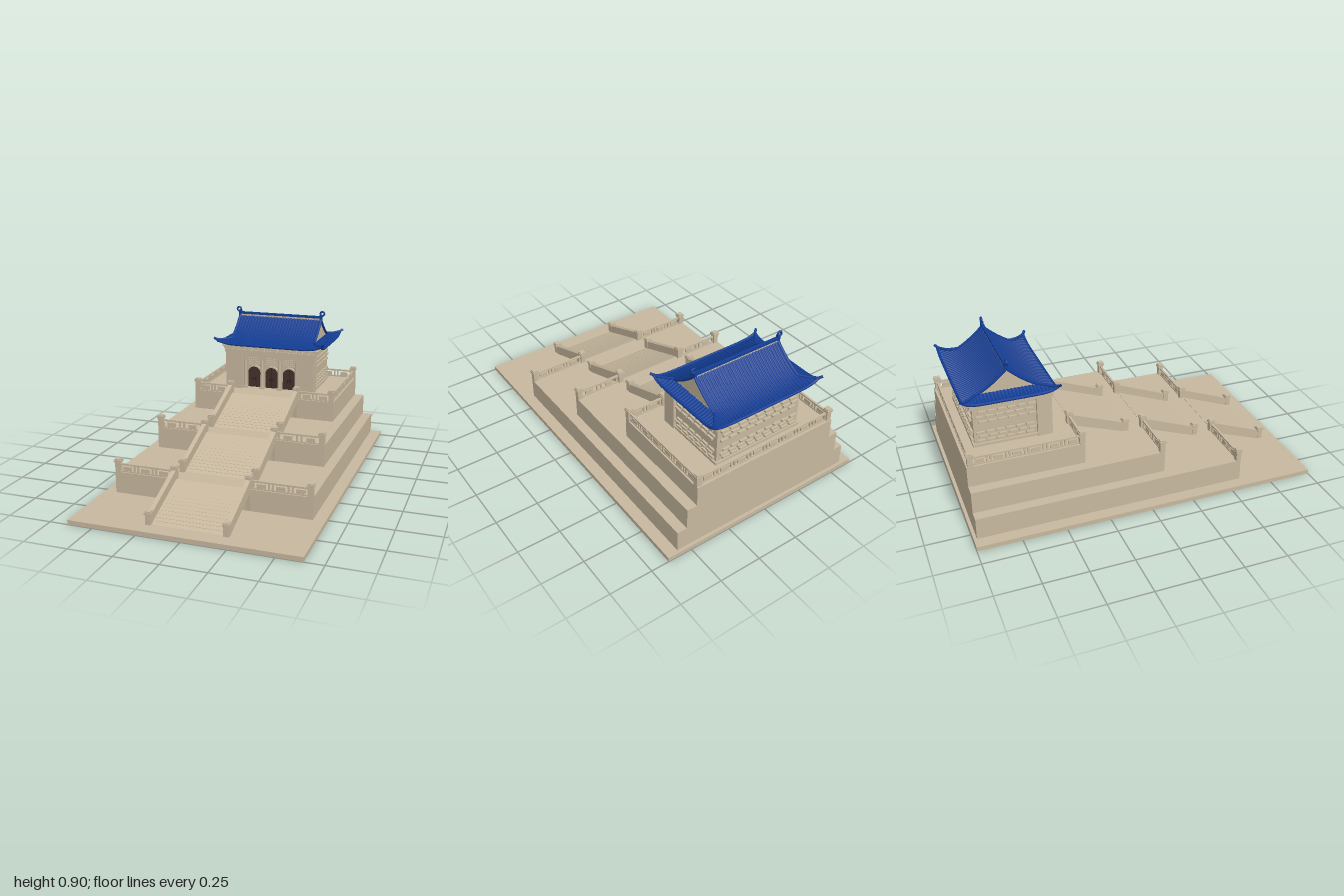
import * as THREE from 'three';
import { mergeGeometries } from 'three/addons/utils/BufferGeometryUtils.js';

const material = (name, color, extra = {}) => {
  const m = new THREE.MeshStandardMaterial({ color, ...extra });
  m.name = name;
  return m;
};

export function createModel() {
  const root = new THREE.Group();
  root.name = 'terracedHall';
  const stone = material('stone', 0xc8b99f);
  const tile = material('blueTile', 0x133f98, { side: THREE.DoubleSide });
  const wood = material('doorWood', 0x45322c);
  const iron = material('doorTrim', 0x2a1f1c);

  const add = (name, geometry, mat = stone) => {
    const mesh = new THREE.Mesh(geometry, mat);
    mesh.name = name;
    root.add(mesh);
    return mesh;
  };
  // Box given by its extents
  const block = (x0, x1, y0, y1, z0, z1) =>
    new THREE.BoxGeometry(x1 - x0, y1 - y0, z1 - z0)
      .translate((x0 + x1) / 2, (y0 + y1) / 2, (z0 + z1) / 2);
  // Side profile of [z, y] points, extruded across x
  const slab = (points, x, width) => {
    const shape = new THREE.Shape(points.map(p => new THREE.Vector2(p[0], p[1])));
    return new THREE.ExtrudeGeometry(shape, { depth: width, bevelEnabled: false })
      .translate(0, 0, -width / 2).rotateY(-Math.PI / 2).translate(x, 0, 0);
  };
  const tube = (points, radius, segments = 8, sides = 5) =>
    new THREE.TubeGeometry(new THREE.CatmullRomCurve3(points), segments, radius, sides);
  const V = (x, y, z) => new THREE.Vector3(x, y, z);

  // Ground slab and the three terraces
  add('groundSlab', block(-0.645, 0.645, 0, 0.026, -1, 1));
  const tiers = [
    { half: 0.577, y0: 0.026, y1: 0.152, front: 0.575 },
    { half: 0.518, y0: 0.152, y1: 0.28, front: 0.12 },
    { half: 0.458, y0: 0.28, y1: 0.402, front: -0.33 },
  ];
  tiers.forEach((t, i) =>
    add('terrace' + (i + 1), block(-t.half, t.half, t.y0, t.y1, -0.982, t.front)));

  // Square post with a cap
  const post = (x, y, z) => mergeGeometries([
    block(x - 0.015, x + 0.015, y, y + 0.06, z - 0.015, z + 0.015),
    block(x - 0.02, x + 0.02, y + 0.057, y + 0.069, z - 0.02, z + 0.02),
    block(x - 0.016, x + 0.016, y + 0.069, y + 0.076, z - 0.016, z + 0.016),
  ]);
  // Balustrade of a given length along x, later moved and turned
  const railing = (length) => {
    const h = length / 2;
    const parts = [block(-h, h, 0.04, 0.05, -0.006, 0.006), block(-h, h, 0, 0.008, -0.006, 0.006)];
    const n = Math.max(2, Math.round(length / 0.11));
    for (let i = 0; i < n; i++) {
      const c = -h + (i + 0.5) * length / n;
      parts.push(block(c - 0.025, c + 0.025, 0.008, 0.032, -0.004, 0.004));
      for (const s of [-1, 1]) {
        const p = c + s * length / n * 0.4;
        parts.push(block(p - 0.005, p + 0.005, 0.008, 0.04, -0.005, 0.005));
      }
    }
    return mergeGeometries(parts);
  };

  tiers.forEach((t) => {
    const edge = t.half - 0.016, z = t.front - 0.013, run = t.front + 0.33;
    for (const s of [-1, 1]) {
      add('cornerPost', post(s * edge, t.y1, z));
      add('frontRailing', railing(edge - 0.23).translate(s * (edge + 0.23) / 2, t.y1, z));
    }
    // Stair flight: ramp, nosings, sloped side walls, brackets and posts
    const z1 = t.front + 0.328, z0 = t.front - 0.005, rise = t.y1 - t.y0;
    add('stairRamp', slab([[z1, t.y0], [z0, t.y1 + 0.002], [z0, t.y1 - 0.014], [z1 - 0.03, t.y0]], 0, 0.42));
    const nosings = [];
    for (let i = 1; i < 13; i++) {
      const k = i / 13, y = t.y0 + rise * k, zz = z1 + (z0 - z1) * k;
      nosings.push(block(-0.2, 0.2, y - 0.003, y + 0.0012, zz - 0.004, zz + 0.001));
    }
    add('stairNosings', mergeGeometries(nosings));
    for (const s of [-1, 1]) {
      const x = s * 0.217;
      add('stairSideWall', slab([[z1, t.y0], [z1, t.y0 + 0.052], [z0, t.y1 + 0.055], [z0, t.y1 - 0.012], [z1 - 0.02, t.y0]], x, 0.026));
      add('stairBracket', slab([[t.front, t.y0], [t.front + 0.01, t.y1 - 0.01], [t.front, t.y1]], x, 0.026));
      add('stairFootPost', post(x, t.y0, z1));
      add('stairHeadPost', post(x, t.y1, z));
    }
  });

  // Railings along the sides and back of the top terrace
  const floor = 0.402;
  for (const s of [-1, 1]) {
    add('sideRailing', railing(0.615).rotateY(Math.PI / 2).translate(s * 0.442, floor, -0.652));
    add('backPost', post(s * 0.442, floor, -0.96));
  }
  add('backRailing', railing(0.87).translate(0, floor, -0.96));

  // Hall body, front corner piers and beams
  add('hallBody', block(-0.275, 0.275, floor, 0.66, -0.895, -0.53));
  add('hallPlinth', block(-0.285, 0.285, floor, 0.418, -0.905, -0.53));
  for (const s of [-1, 1]) {
    const a = s * 0.182, b = s * 0.292;
    add('frontPier', block(Math.min(a, b), Math.max(a, b), floor, 0.64, -0.545, -0.46));
  }
  add('frontBeam', block(-0.182, 0.182, 0.612, 0.645, -0.53, -0.475));
  add('cornice', block(-0.298, 0.298, 0.64, 0.662, -0.912, -0.452));
  add('soffit', block(-0.318, 0.318, 0.674, 0.684, -0.925, -0.46));
  const dentils = [];
  for (let i = -14; i <= 14; i++)
    for (const z of [-0.917, -0.466]) dentils.push(block(i * 0.021 - 0.006, i * 0.021 + 0.006, 0.661, 0.675, z - 0.012, z + 0.012));
  for (let i = -10; i <= 10; i++)
    for (const x of [-0.3, 0.3]) dentils.push(block(x - 0.012, x + 0.012, 0.661, 0.675, -0.692 + i * 0.021 - 0.006, -0.692 + i * 0.021 + 0.006));
  add('eaveDentils', mergeGeometries(dentils));

  // Arched doors with trim, columns and lattice
  const arch = (w, h) => {
    const s = new THREE.Shape().moveTo(-w, 0).lineTo(w, 0).lineTo(w, h - w);
    return s.absarc(0, h - w, w, 0, Math.PI).lineTo(-w, 0);
  };
  for (const x of [-0.118, 0, 0.118]) {
    add('door', new THREE.ExtrudeGeometry(arch(0.044, 0.138), { depth: 0.008, bevelEnabled: false }).translate(x, floor, -0.53), wood);
    const frame = arch(0.05, 0.146);
    frame.holes.push(arch(0.043, 0.137));
    add('doorFrame', new THREE.ExtrudeGeometry(frame, { depth: 0.015, bevelEnabled: false }).translate(x, floor, -0.53));
    const trim = [block(x - 0.001, x + 0.001, floor, 0.538, -0.522, -0.52)];
    for (const s of [-1, 1]) trim.push(block(x + s * 0.009 - 0.003, x + s * 0.009 + 0.003, 0.45, 0.468, -0.522, -0.517));
    add('doorHandles', mergeGeometries(trim), iron);
    const bars = [];
    for (let i = -3; i <= 3; i++) bars.push(block(x + i * 0.014 - 0.002, x + i * 0.014 + 0.002, 0.553, 0.612, -0.53, -0.52));
    for (let i = 0; i < 5; i++) bars.push(block(x - 0.046, x + 0.046, 0.555 + i * 0.013, 0.559 + i * 0.013, -0.53, -0.518));
    add('lattice', mergeGeometries(bars));
  }
  for (const x of [-0.172, -0.059, 0.059, 0.172]) {
    add('column', new THREE.CylinderGeometry(0.01, 0.011, 0.21, 12).translate(x, 0.507, -0.495));
    add('columnBase', block(x - 0.015, x + 0.015, floor, 0.414, -0.51, -0.48));
    add('columnCapital', block(x - 0.014, x + 0.014, 0.595, 0.612, -0.51, -0.48));
  }

  // Staggered protruding masonry on the sides and back
  const stones = [];
  [0.435, 0.46, 0.485, 0.55, 0.58, 0.61].forEach((y, row) => {
    const shift = row % 2 ? 0.014 : 0;
    for (let i = 0; i < 6; i++)
      for (const s of [-1, 1]) {
        const z = -0.88 + shift + i * 0.055;
        stones.push(block(s * 0.28 - 0.007, s * 0.28 + 0.007, y - 0.006, y + 0.006, z, z + 0.042));
      }
    for (let i = 0; i < 9; i++) {
      const x = -0.26 + shift + i * 0.057;
      stones.push(block(x, x + 0.045, y - 0.006, y + 0.006, -0.908, -0.89));
    }
  });
  add('wallStones', mergeGeometries(stones));

  // Hip-and-gable roof: d is the distance from the ridge
  const ZR = -0.695, D = 0.256, G = 0.17, GX = 0.275, EX = 0.345;
  const skirt = d => Math.max(0, (d - G) / (D - G));
  const half = d => GX + skirt(d) * (EX - GX);
  const height = (d, s) => 0.694 + 0.148 * (1 - d / D) ** 1.7 + 0.024 * skirt(d) * Math.abs(s) ** 8;
  const slopeAt = (d, x, s) => V(x, height(d, x / half(d)), ZR + s * d);
  const skirtAt = (d, z, s) => V(s * half(d), height(d, z / d), ZR + z);
  const patch = (fn, nu, nv) => {
    const pos = [], index = [];
    for (let j = 0; j <= nv; j++) for (let i = 0; i <= nu; i++) pos.push(...fn(i / nu, j / nv).toArray());
    for (let j = 0; j < nv; j++) for (let i = 0; i < nu; i++) {
      const a = j * (nu + 1) + i, b = a + nu + 1;
      index.push(a, a + 1, b, a + 1, b + 1, b);
    }
    const g = new THREE.BufferGeometry();
    g.setAttribute('position', new THREE.Float32BufferAttribute(pos, 3));
    g.setIndex(index);
    g.computeVertexNormals();
    return g;
  };
  const steps = (a, b, n, fn) => Array.from({ length: n + 1 }, (_, i) => fn(a + (b - a) * i / n));
  const ribs = [];
  for (const s of [-1, 1]) {
    add('roofSlope', patch((u, v) => slopeAt(v * D, (2 * u - 1) * half(v * D), s), 40, 18), tile);
    add('roofSkirt', patch((u, v) => { const d = G + v * (D - G); return skirtAt(d, (2 * u - 1) * d, s); }, 32, 6), tile);
    for (let i = -17; i <= 17; i++) {
      const x = i * 0.0195, over = Math.abs(x) - GX;
      const start = over > 0 ? G + over / (EX - GX) * (D - G) : 0.004;
      if (start < D - 0.005) ribs.push(tube(steps(start, D, 8, d => slopeAt(d, x, s)), 0.005));
    }
    for (let i = -12; i <= 12; i++) {
      const z = i * 0.0195, start = Math.max(G, Math.abs(z));
      if (start < D - 0.005) ribs.push(tube(steps(start, D, 4, d => skirtAt(d, z, s)), 0.005, 5));
    }
    // Eave edges, gable wall, verge and upturned hip ridges
    add('longEave', tube(steps(-EX, EX, 30, x => slopeAt(D, x, s)), 0.008, 50, 6), tile);
    add('shortEave', tube(steps(-D, D, 24, z => skirtAt(D, z, s)), 0.008, 40, 6), tile);
    add('gableWall', slab(steps(-G, G, 20, z => [ZR + z, height(Math.abs(z), 0) - 0.002]), s * 0.266, 0.012));
    for (const t of [-1, 1]) {
      add('verge', tube(steps(0, G, 10, d => slopeAt(d, s * GX, t)), 0.009, 16, 6), tile);
      const hip = steps(G, D, 6, d => slopeAt(d, s * half(d), t).add(V(0, 0.004, 0)));
      hip.push(V(s * (EX + 0.016), 0.731, ZR + t * (D + 0.012)));
      add('hipRidge', tube(hip, 0.008, 16, 6), tile);
    }
    // Curled ridge ornament
    add('ridgeCurl', new THREE.TorusGeometry(0.013, 0.006, 8, 18).translate(s * 0.284, 0.88, ZR), tile);
    add('ridgeCurlNeck', block(s * 0.275 - 0.008, s * 0.275 + 0.008, 0.835, 0.872, ZR - 0.009, ZR + 0.009), tile);
  }
  add('tileRibs', mergeGeometries(ribs), tile);
  add('ridgeBand', block(-GX, GX, 0.835, 0.85, ZR - 0.006, ZR + 0.006));
  add('mainRidge', block(-GX - 0.005, GX + 0.005, 0.849, 0.863, ZR - 0.009, ZR + 0.009), tile);

  return root;
}
